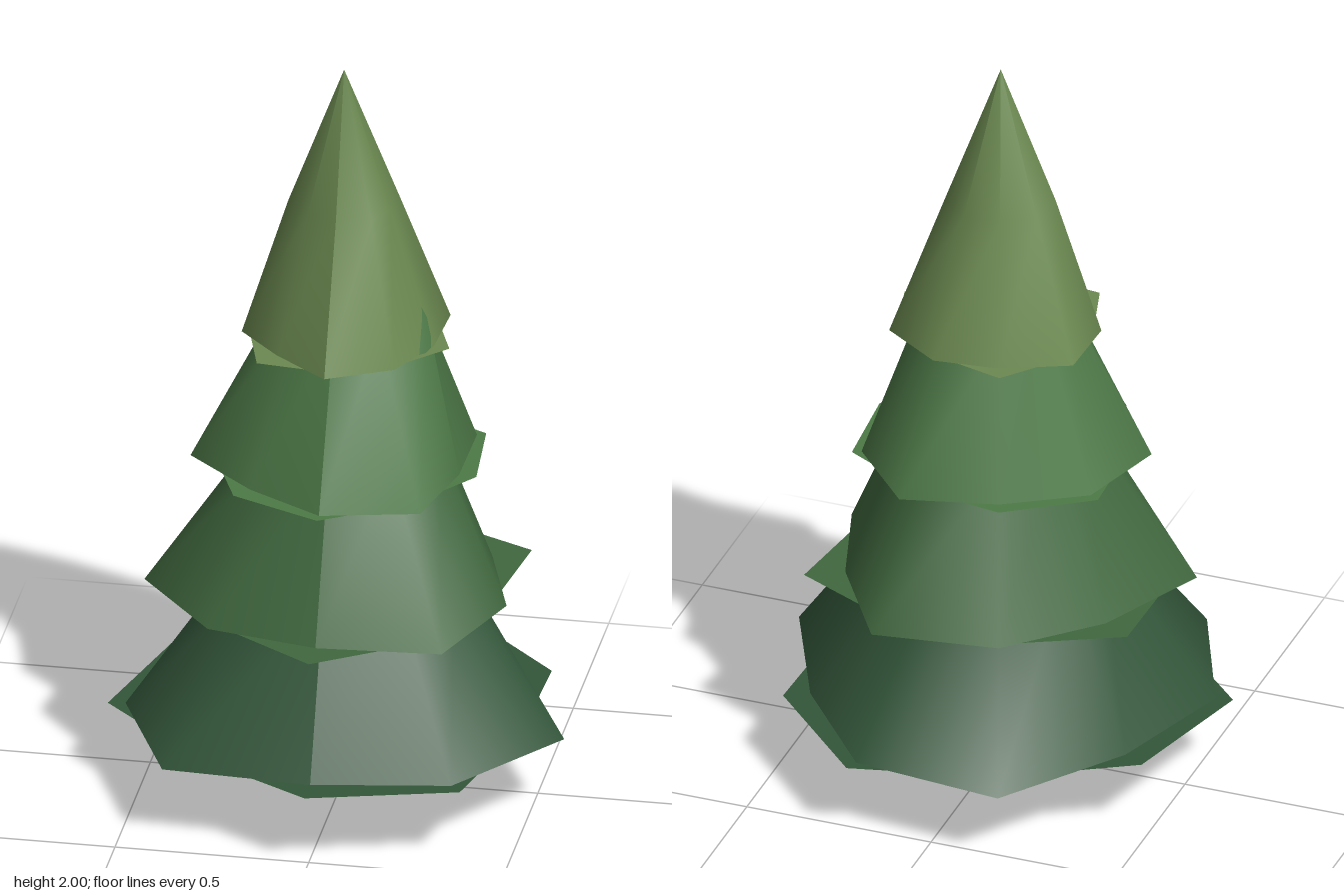
import * as THREE from 'three';

const SIDES = 9;

// Foliage tiers from bottom to top. Radii run around the tier in 40 degree steps from the front:
// skirt = lower rim of the side, mid = ring at half height, base = rim of the underside.
const TIERS = [
  { name: 'bottomFoliage', color: 0x34573b, y: 0.21, height: 0.85,
    skirt: [0.48, 0.55, 0.596, 0.49, 0.563, 0.607, 0.5, 0.555, 0.6],
    mid: [0.3, 0.28, 0.295, 0.27, 0.25, 0.25, 0.26, 0.26, 0.28],
    base: [0.56, 0.593, 0.48, 0.56, 0.6, 0.5, 0.565, 0.6, 0.49] },
  { name: 'lowerFoliage', color: 0x41693f, y: 0.56, height: 0.85,
    skirt: [0.405, 0.5, 0.44, 0.4, 0.503, 0.45, 0.42, 0.507, 0.45],
    mid: [0.22, 0.24, 0.255, 0.24, 0.27, 0.27, 0.23, 0.21, 0.22],
    base: [0.5, 0.42, 0.4, 0.506, 0.42, 0.43, 0.507, 0.45, 0.42] },
  { name: 'upperFoliage', color: 0x4e7a48, y: 0.91, height: 0.85,
    skirt: [0.356, 0.39, 0.312, 0.358, 0.395, 0.325, 0.36, 0.39, 0.31],
    mid: [0.145, 0.18, 0.225, 0.2, 0.21, 0.21, 0.18, 0.17, 0.17],
    base: [0.385, 0.33, 0.358, 0.383, 0.33, 0.366, 0.39, 0.33, 0.365] },
  { name: 'topFoliage', color: 0x6c8a51, y: 1.26, height: 0.74,
    skirt: [0.281, 0.256, 0.243, 0.287, 0.263, 0.24, 0.29, 0.26, 0.22],
    mid: [0.115, 0.14, 0.125, 0.145, 0.145, 0.14, 0.145, 0.142, 0.12],
    base: [0.24, 0.24, 0.285, 0.25, 0.24, 0.288, 0.25, 0.24, 0.288] },
];

// Cone whose rings are pushed in and out by the given radii
function foliageGeometry({ y, height, skirt, mid, base }) {
  const geo = new THREE.ConeGeometry(1, height, SIDES, 2);
  geo.translate(0, y + height / 2, 0);
  const pos = geo.attributes.position;
  const row = SIDES + 1;
  const setRing = (start, radii) => {
    for (let k = 0; k <= SIDES; k++) {
      const a = (k / SIDES) * Math.PI * 2;
      const r = radii[k % SIDES];
      pos.setX(start + k, Math.sin(a) * r);
      pos.setZ(start + k, Math.cos(a) * r);
    }
  };
  setRing(row, mid);
  setRing(row * 2, skirt);
  // underside rim follows the row of cap centre points
  setRing(row * 3 + SIDES, base);
  geo.computeVertexNormals();
  return geo;
}

function addMesh(group, name, geometry, color) {
  const material = new THREE.MeshStandardMaterial({ side: THREE.DoubleSide });
  material.color.set(color);
  const mesh = new THREE.Mesh(geometry, material);
  mesh.name = name;
  group.add(mesh);
}

export function createModel() {
  const tree = new THREE.Group();
  tree.name = 'pineTree';

  // Trunk, slightly tapered, ending inside the lowest tier
  const trunk = new THREE.CylinderGeometry(0.085, 0.1, 0.35, 7);
  trunk.translate(0, 0.175, 0);
  addMesh(tree, 'trunk', trunk, 0x70543a);

  for (const tier of TIERS) addMesh(tree, tier.name, foliageGeometry(tier), tier.color);
  return tree;
}
